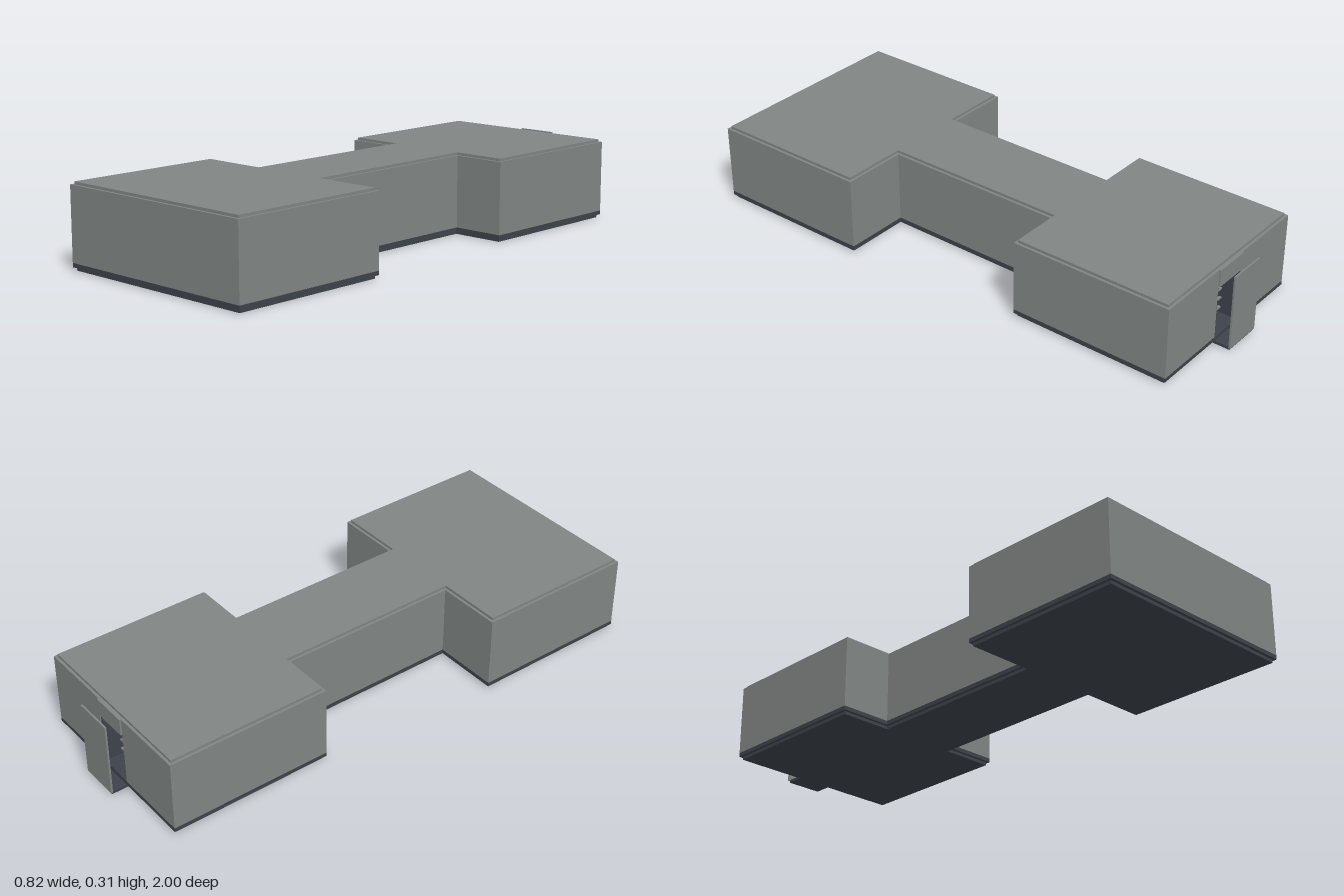
import * as THREE from 'three';

const grey = new THREE.MeshStandardMaterial({ color: 0x808583 });
grey.name = 'concreteGrey';
const dark = new THREE.MeshStandardMaterial({ color: 0x3d424a });
dark.name = 'darkSlate';

const DOOR = 0.07; // half width of the rear doorway
const BACK = -0.935;

// Dumbbell-shaped plan, shrunk by inset, with an optional rear doorway notch
function plan(inset, notchDepth) {
  const half = [
    [0.412 - inset, 1 - inset], [0.412 - inset, 0.378 + inset],
    [0.16 - inset, 0.378 + inset], [0.16 - inset, -0.315 - inset],
    [0.36 - inset, -0.315 - inset], [0.36 - inset, BACK + inset],
  ];
  if (notchDepth) half.push([DOOR, BACK + inset], [DOOR, BACK + notchDepth]);
  const mirrored = half.map(([x, z]) => [-x, z]).reverse();
  return new THREE.Shape([...half, ...mirrored].map(([x, z]) => new THREE.Vector2(x, -z)));
}

export function createModel() {
  const model = new THREE.Group();
  model.name = 'building';

  const add = (name, geometry, material) => {
    const mesh = new THREE.Mesh(geometry, material);
    mesh.name = name;
    model.add(mesh);
    return mesh;
  };
  const layer = (name, y0, y1, inset, material, notch = 0) => {
    const g = new THREE.ExtrudeGeometry(plan(inset, notch), { depth: y1 - y0, bevelEnabled: false });
    g.rotateX(-Math.PI / 2);
    g.translate(0, y0, 0);
    add(name, g, material);
  };
  const box = (name, w, h, d, x, y, z, material) =>
    add(name, new THREE.BoxGeometry(w, h, d), material).position.set(x, y, z);

  // Stacked slabs: inset footing, dark skirt, walls and inset roof
  layer('footing', 0, 0.012, 0.01, dark);
  layer('skirt', 0.012, 0.027, 0, dark);
  layer('walls', 0.027, 0.23, 0, grey, 0.08);
  layer('upperWalls', 0.23, 0.295, 0, grey);
  layer('roof', 0.295, 0.305, 0.01, grey);

  // Rear doorway: lintel, dark lining and rungs
  box('lintel', 0.14, 0.065, 0.008, 0, 0.2625, -0.937, grey);
  box('doorwayBack', 0.138, 0.203, 0.006, 0, 0.1285, -0.858, dark);
  for (const s of [-1, 1]) {
    box('doorwayJamb', 0.006, 0.203, 0.07, s * 0.067, 0.1285, -0.897, dark);
  }
  for (let i = 0; i < 5; i++) {
    box('rung', 0.128, 0.006, 0.01, 0, 0.05 + i * 0.038, -0.867, grey);
  }

  // Threshold plate and free-standing screen behind the doorway
  box('threshold', 0.14, 0.01, 0.076, 0, 0.008, -0.957, dark);
  box('screen', 0.15, 0.283, 0.007, 0, 0.1535, -0.9965, grey);

  return model;
}
